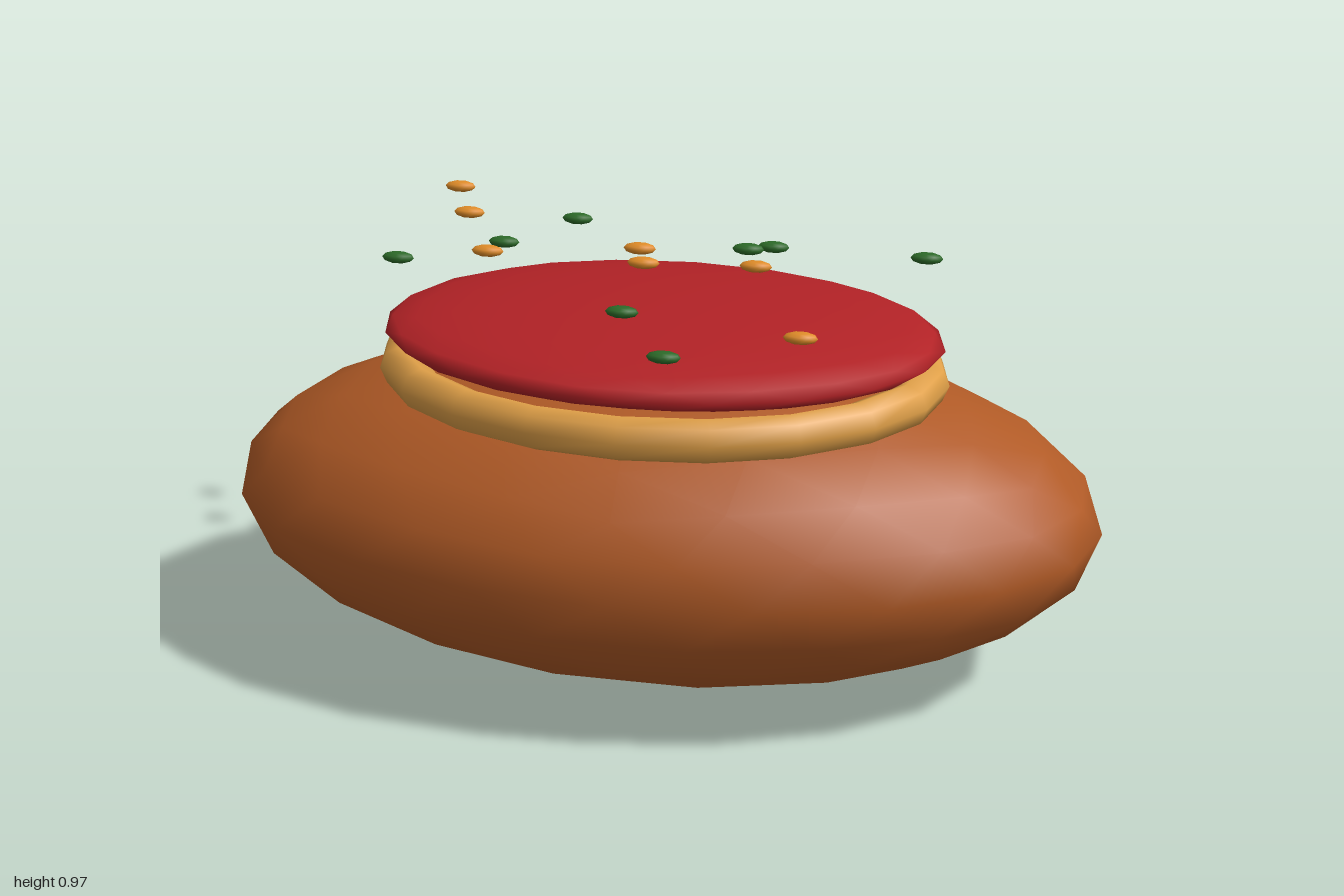
import * as THREE from 'three';

const mat = (name, color) => {
  const m = new THREE.MeshStandardMaterial({ color });
  m.name = name;
  return m;
};

// Icosphere with a vertex at the top, stretched to an ellipsoid
function ellipsoid(rx, ry, rz, detail) {
  const g = new THREE.IcosahedronGeometry(1, detail);
  g.rotateX(-Math.atan((1 + Math.sqrt(5)) / 2));
  g.scale(rx, ry, rz);
  return g;
}

export function createModel() {
  const group = new THREE.Group();
  const crust = mat('baked brown', 0xb05a26);
  const gold = mat('golden yellow', 0xe0a048);
  const red = mat('sauce red', 0xb22226);
  const green = mat('herb green', 0x2c6a28);
  const orange = mat('crumb orange', 0xe08c28);

  const add = (name, geometry, material, x, y, z) => {
    const mesh = new THREE.Mesh(geometry, material);
    mesh.name = name;
    mesh.position.set(x, y, z);
    group.add(mesh);
  };

  // Bun body
  add('body', ellipsoid(1, 0.375, 0.59, 3), crust, 0, 0.375, 0);

  // Oval ring resting on the body
  const ring = new THREE.TorusGeometry(0.597, 0.05, 8, 20);
  ring.rotateX(Math.PI / 2);
  ring.scale(1, 1, 0.745);
  add('ring', ring, gold, 0, 0.7, 0);

  // Domed filling inside the ring
  add('filling', ellipsoid(0.635, 0.077, 0.44, 3), red, 0, 0.78, 0);

  // Toppings floating above the filling: x, y, z
  const bit = ellipsoid(0.037, 0.0135, 0.02, 1);
  const crumbs = [
    [-0.585, 0.955, -0.425], [-0.52, 0.941, -0.273], [-0.405, 0.937, -0.015],
    [-0.063, 0.953, -0.055], [-0.045, 0.935, -0.01], [0.192, 0.912, -0.104],
    [0.368, 0.92, 0.357],
  ];
  const herbs = [
    [-0.435, 0.877, -0.263], [-0.282, 0.912, -0.367], [0.19, 0.877, -0.355],
    [0.155, 0.915, -0.214], [0.563, 0.921, -0.214], [-0.602, 0.922, 0.028],
    [-0.042, 0.9, 0.221], [0.093, 0.882, 0.427],
  ];
  crumbs.forEach((p, i) => add('crumb' + (i + 1), bit, orange, ...p));
  herbs.forEach((p, i) => add('herb' + (i + 1), bit, green, ...p));

  return group;
}
